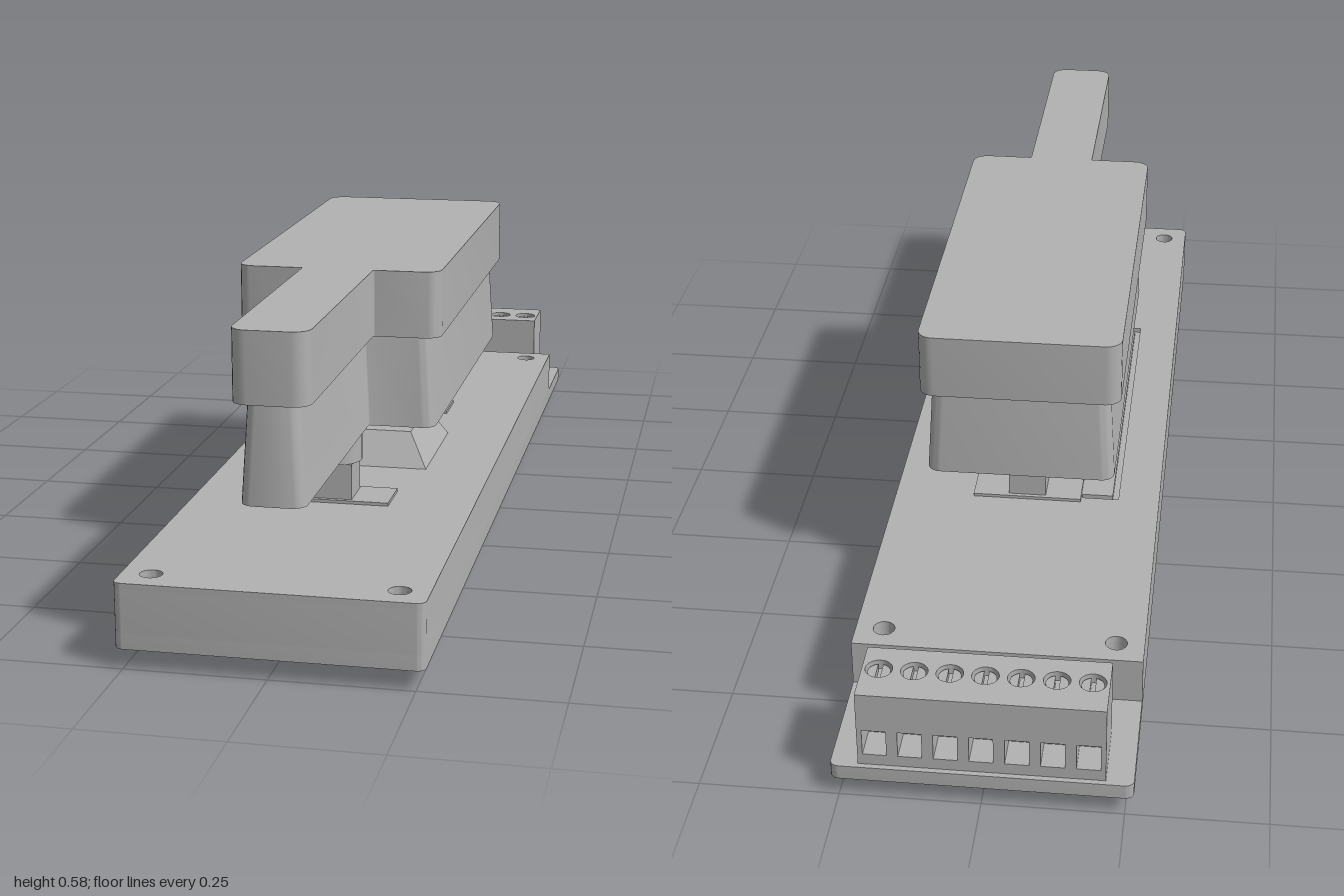
import * as THREE from 'three';
import { toCreasedNormals, mergeGeometries } from 'three/addons/utils/BufferGeometryUtils.js';

const grey = new THREE.MeshStandardMaterial({ color: 0xb2b2b2 });
grey.name = 'grey plastic';

// Outline with rounded corners; corners are [x, z, radius], anticlockwise from above
function outline(corners) {
  const v = corners.map(([x, z]) => new THREE.Vector2(x, -z));
  const pts = [];
  corners.forEach(([, , r], i) => {
    const p = v[i];
    if (!r) { pts.push(p); return; }
    const before = v[(i + v.length - 1) % v.length].clone().sub(p).setLength(r).add(p);
    const after = v[(i + 1) % v.length].clone().sub(p).setLength(r).add(p);
    const centre = before.clone().add(after).sub(p);
    for (let k = 0; k <= 6; k++) {
      const a = (k / 6) * Math.PI / 2;
      pts.push(centre.clone()
        .addScaledVector(before.clone().sub(centre), Math.cos(a))
        .addScaledVector(after.clone().sub(centre), Math.sin(a)));
    }
  });
  return pts;
}
const rect = (x0, x1, z0, z1, rBack = 0, rFront = rBack) =>
  outline([[x0, z1, rFront], [x1, z1, rFront], [x1, z0, rBack], [x0, z0, rBack]]);

// Paddle outline: wide rear block with a narrow handle, shrunk inwards by d
const paddle = (d, r) => {
  const w = 0.192 - d, h = 0.067 - d, back = -0.4 + d, notch = 0.437 - d, front = 0.967 - d;
  return outline([[-h, front, r], [h, front, r], [h, notch, 0.003], [w, notch, r],
    [w, back, r], [-w, back, r], [-w, notch, r], [-h, notch, 0.003]]);
};

// Vertical extrusion of an outline between two heights
function slab(pts, y0, y1, holes = []) {
  const shape = new THREE.Shape(pts);
  shape.holes = holes;
  const g = new THREE.ExtrudeGeometry(shape, { depth: y1 - y0, bevelEnabled: false, curveSegments: 10 });
  return g.rotateX(-Math.PI / 2).translate(0, y0, 0);
}
const circle = (x, z, r) => new THREE.Path().absarc(x, -z, r, 0, Math.PI * 2, true);

// Skin through a list of [outline, height] rings
function loft(rings) {
  const pos = [];
  for (let k = 0; k + 1 < rings.length; k++) {
    const [A, ya] = rings[k], [B, yb] = rings[k + 1], n = A.length;
    for (let i = 0; i < n; i++) {
      const j = (i + 1) % n;
      const a = [A[i].x, ya, -A[i].y], b = [B[i].x, yb, -B[i].y];
      const c = [B[j].x, yb, -B[j].y], d = [A[j].x, ya, -A[j].y];
      pos.push(...a, ...b, ...c, ...a, ...c, ...d);
    }
  }
  const g = new THREE.BufferGeometry();
  g.setAttribute('position', new THREE.Float32BufferAttribute(pos, 3));
  return g;
}

const box = (x0, x1, y0, y1, z0, z1) => new THREE.BoxGeometry(x1 - x0, y1 - y0, z1 - z0)
  .translate((x0 + x1) / 2, (y0 + y1) / 2, (z0 + z1) / 2);
const rod = (x, z, r, y0, y1) => new THREE.CylinderGeometry(r, r, y1 - y0, 24)
  .translate(x, (y0 + y1) / 2, z);

export function createModel() {
  const group = new THREE.Group();
  const add = (name, geometry) => {
    const mesh = new THREE.Mesh(toCreasedNormals(geometry, 0.6), grey);
    mesh.name = name;
    group.add(mesh);
  };

  // Base with four through holes and a thin terminal shelf at the back
  const bolts = () => [-0.213, 0.213].flatMap(x => [-0.72, 0.945].map(z => circle(x, z, 0.02)));
  const groove = new THREE.Path(outline([[-0.183, 0.467, 0], [-0.11, 0.467, 0], [-0.11, 0.455, 0],
    [-0.171, 0.455, 0], [-0.171, -0.24, 0], [-0.11, -0.24, 0], [-0.11, -0.252, 0], [-0.183, -0.252, 0]]));
  add('basePlate', slab(rect(-0.265, 0.265, -1, 1, 0.015), 0.035, 0.063, bolts()));
  const bodyOutline = rect(-0.265, 0.265, -0.77, 1, 0, 0.015);
  add('baseBody', slab(bodyOutline, 0.063, 0.142, bolts()));
  add('baseTop', slab(bodyOutline, 0.142, 0.152, [...bolts(), groove]));

  // Paddle: solid cap over a hollow, slightly flared skirt
  add('paddleCap', slab(paddle(0, 0.03), 0.46, 0.585));
  add('paddleSkirt', loft([[paddle(0.021, 0.025), 0.46], [paddle(0.011, 0.025), 0.285],
    [paddle(0.023, 0.02), 0.285], [paddle(0.033, 0.02), 0.46]]));

  // Two switches: flange, square stem and round button
  for (const [z, top] of [[0.455, 0.3], [-0.22, 0.46]]) {
    add('switchFlange', box(-0.108, 0.108, 0.15, 0.158, z - 0.048, z + 0.048));
    add('switchStem', box(-0.037, 0.037, 0.15, 0.226, z - 0.04, z + 0.04));
    add('switchButton', rod(0, z, 0.049, 0.226, top));
  }

  // Central pivot: sloping pedestal with a post
  add('pivotPedestal', mergeGeometries([
    loft([[rect(-0.098, 0.098, 0.02, 0.212), 0.216], [rect(-0.137, 0.137, -0.02, 0.255), 0.15]]),
    loft([[rect(0, 0, 0.116, 0.116), 0.216], [rect(-0.098, 0.098, 0.02, 0.212), 0.216]]),
  ]));
  add('pivotPost', slab(rect(-0.061, 0.061, 0.07, 0.166, 0.02), 0.21, 0.46));

  // Sensor pins and locating pegs
  for (let i = -2; i <= 2; i++) {
    add('sensorPin', box(i * 0.045 - 0.005, i * 0.045 + 0.005, 0.02, 0.172, -0.088, -0.078));
  }
  for (const x of [-0.09, 0.09]) {
    add('locatingPeg', rod(x, 0.116, 0.014, 0.028, 0.04));
    add('locatingPegTip', rod(x, 0.116, 0.005, 0.02, 0.03));
  }

  // Terminal block: wire openings at the back, screw wells on top
  const xs = Array.from({ length: 7 }, (_, i) => (i - 3) * 0.062);
  const face = new THREE.Shape(rect(-0.216, 0.216, -0.195, -0.063));
  face.holes = xs.map(x => new THREE.Path(rect(x - 0.021, x + 0.021, -0.137, -0.085)));
  add('terminalFace', new THREE.ExtrudeGeometry(face, { depth: 0.06, bevelEnabled: false })
    .translate(0, 0, -0.99));
  add('terminalRear', box(-0.216, 0.216, 0.063, 0.195, -0.93, -0.857));
  add('terminalTop', slab(rect(-0.216, 0.216, -0.99, -0.857), 0.195, 0.214,
    xs.map(x => circle(x, -0.915, 0.024))));
  for (const x of xs) {
    // Slotted screw head made of two half discs
    for (const side of [0, 1]) {
      const half = new THREE.Shape().absarc(0, 0, 0.02, 0.22, Math.PI - 0.22, false);
      const g = slab(half.getPoints(10), 0.195, 0.208);
      g.rotateY(side * Math.PI + Math.PI / 2).translate(x, 0, -0.915);
      add('terminalScrew', g);
    }
    add('terminalPin', box(x - 0.0065, x + 0.0065, 0, 0.04, -0.917, -0.904));
  }
  return group;
}
